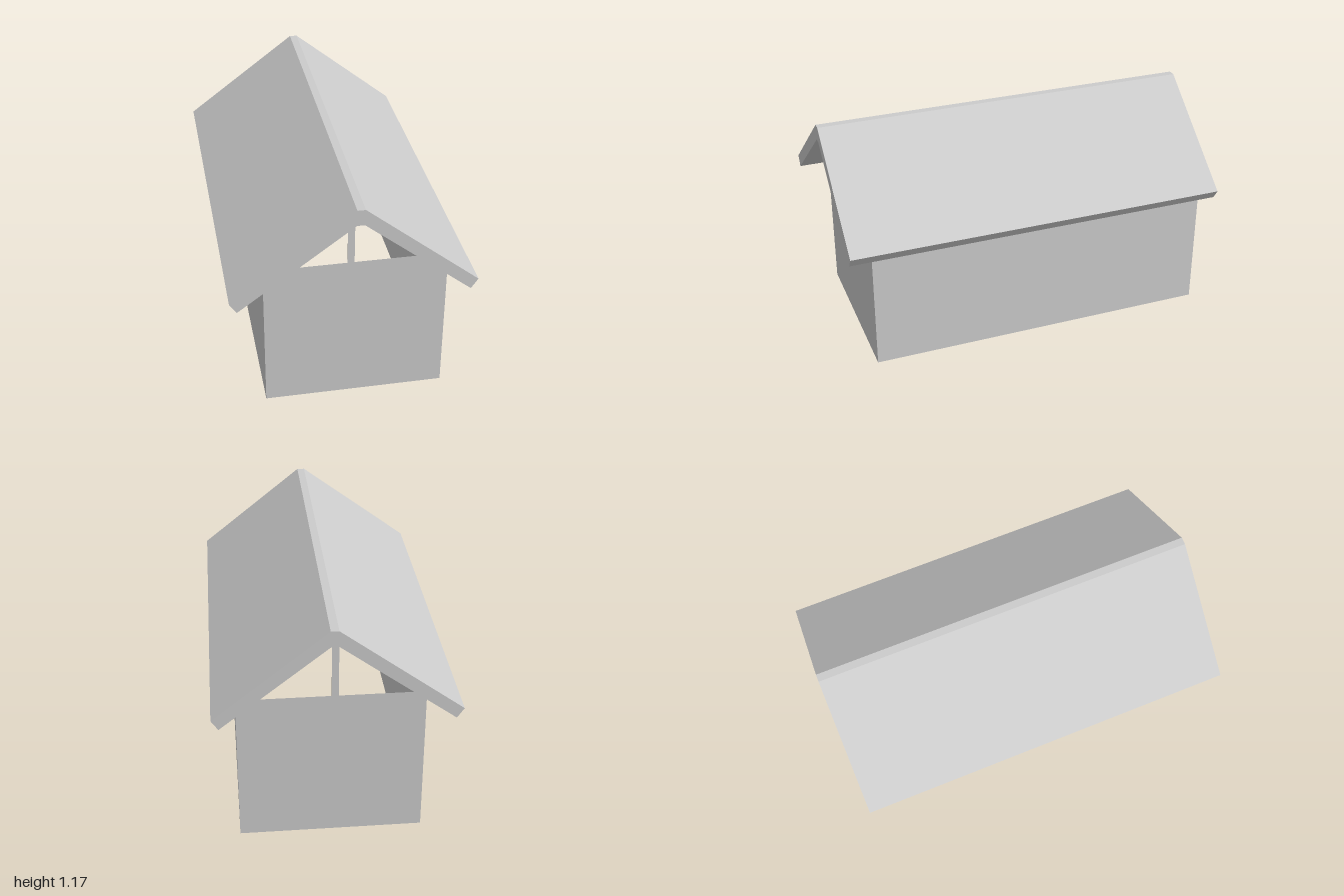
import * as THREE from 'three';

export function createModel() {
  const model = new THREE.Group();
  const grey = new THREE.MeshStandardMaterial({ color: 0xcccccc, side: THREE.DoubleSide });
  grey.name = 'plain grey';

  const add = (name, geometry, x, y, z, turn = 0) => {
    const mesh = new THREE.Mesh(geometry, grey);
    mesh.name = name;
    mesh.position.set(x, y, z);
    mesh.rotation.y = turn;
    model.add(mesh);
  };

  // Walls: thin sheets, open above and below, tops buried in the roof
  const left = 0.487, right = -0.428, front = 0.868, back = -0.955, height = 0.795;
  const midX = (left + right) / 2, midZ = (front + back) / 2;
  const endWall = new THREE.PlaneGeometry(left - right, height);
  const sideWall = new THREE.PlaneGeometry(front - back, height);
  add('frontWall', endWall, midX, height / 2, front);
  add('backWall', endWall, midX, height / 2, back, Math.PI);
  add('leftWall', sideWall, left, height / 2, midZ, Math.PI / 2);
  add('rightWall', sideWall, right, height / 2, midZ, -Math.PI / 2);

  // Gable posts: narrow strips from the end walls up to the ridge
  const post = new THREE.BoxGeometry(0.034, 0.31, 0.006);
  add('frontPost', post, 0.003, 0.945, front - 0.003);
  add('backPost', post, 0.012, 0.945, back + 0.003);

  // Roof: bent slab with a narrow flat ridge
  const profile = new THREE.Shape([
    [-0.605, 0.717], [-0.57, 0.665], [0, 1.088], [0.037, 1.088],
    [0.57, 0.665], [0.605, 0.717], [0.04, 1.17], [0, 1.17],
  ].map(([x, y]) => new THREE.Vector2(x, y)));
  add('roof', new THREE.ExtrudeGeometry(profile, { depth: 2, bevelEnabled: false }), 0, 0, -1);

  return model;
}
